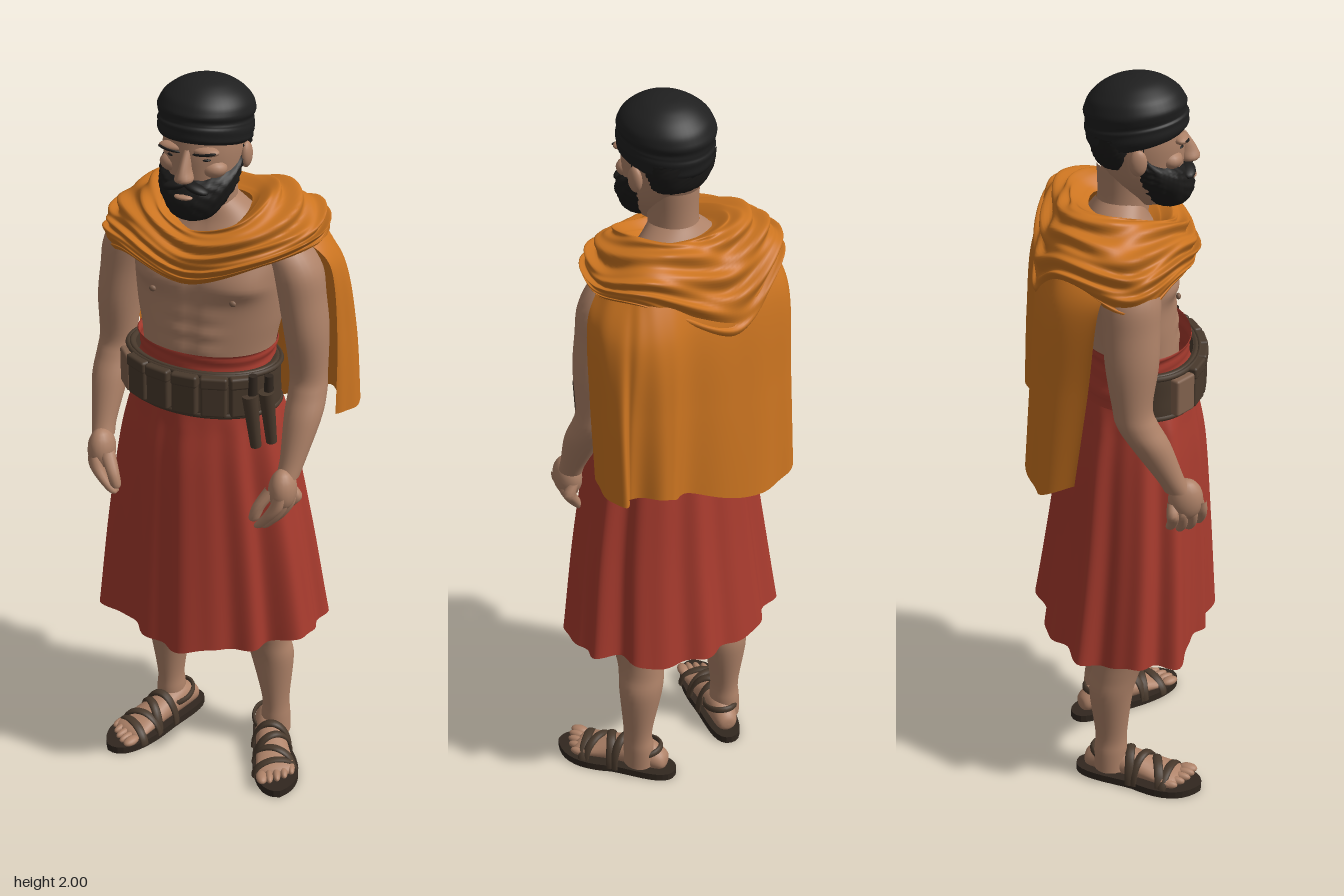
import * as THREE from 'three';
import { RoundedBoxGeometry } from 'three/addons/geometries/RoundedBoxGeometry.js';

const material = (name, color, side = THREE.FrontSide) => {
  const m = new THREE.MeshStandardMaterial({ color, side });
  m.name = name;
  return m;
};

// Catmull-Rom through rows of numbers, t in 0..1
function spline(rows, t, closed = false) {
  const n = rows.length, s = t * (closed ? n : n - 1);
  const i = Math.min(Math.floor(s), closed ? n : n - 2), f = s - i;
  const at = k => closed ? rows[(k + n) % n] : rows[Math.max(0, Math.min(n - 1, k))];
  const [a, b, c, d] = [at(i - 1), at(i), at(i + 1), at(i + 2)];
  return b.map((_, k) => b[k] + 0.5 * f * (c[k] - a[k]
    + f * (2 * a[k] - 5 * b[k] + 4 * c[k] - d[k] + f * (3 * (b[k] - c[k]) + d[k] - a[k]))));
}

// Smooth surface from f(u, v) -> [x, y, z]; wrap closes it around u
function surface(f, nu, nv, wrap) {
  const pos = [], index = [], cols = wrap ? nu : nu + 1;
  for (let j = 0; j <= nv; j++)
    for (let i = 0; i < cols; i++) pos.push(...f(i / nu, j / nv));
  for (let j = 0; j < nv; j++)
    for (let i = 0; i < nu; i++) {
      const a = j * cols + i, b = j * cols + (i + 1) % cols;
      index.push(a, b, b + cols, a, b + cols, a + cols);
    }
  const g = new THREE.BufferGeometry();
  g.setAttribute('position', new THREE.Float32BufferAttribute(pos, 3));
  g.setIndex(index);
  g.computeVertexNormals();
  return g;
}

// Elliptical sections [y, cx, cz, rx, rz] from bottom to top; swell(angle, v) scales them
function loft(rows, nu = 24, nv = 24, swell = () => 1, lift = () => 0) {
  return surface((u, v) => {
    const [y, cx, cz, rx, rz] = spline(rows, v), a = u * Math.PI * 2, k = swell(a, v);
    return [cx + Math.max(0, rx) * k * Math.sin(a), y + lift(a, v), cz + Math.max(0, rz) * k * Math.cos(a)];
  }, nu, nv, true);
}

// Surface through rows of points, then pushed by a fold rule
function drape(rows, nu, nv, closed, fold) {
  return surface((u, v) => fold(spline(rows.map(r => spline(r, u, closed)), v), u, v), nu, nv, closed);
}

export function createModel() {
  const model = new THREE.Group();
  const skin = material('skin', 0xae8268), cloth = material('orangeCloth', 0xcb7420, THREE.DoubleSide);
  const red = material('redCloth', 0xa83b2e, THREE.DoubleSide), black = material('blackCloth', 0x1f1f1f);
  const hair = material('hair', 0x1b1a19), leather = material('leather', 0x48392c, THREE.DoubleSide);
  const tan = material('tanLeather', 0x80614d), sole = material('soleLeather', 0x31271f);
  const add = (name, geo, mat, parent = model) => {
    const m = new THREE.Mesh(geo, mat);
    m.name = name;
    parent.add(m);
    return m;
  };
  const ball = (name, mat, p, r, parent) => {
    const m = add(name, new THREE.SphereGeometry(1, 18, 12), mat, parent);
    m.position.set(...p);
    m.scale.set(...r);
    return m;
  };
  const bell = (x, w) => Math.exp(-((x / w) ** 2));
  const fromFront = a => Math.abs(a > Math.PI ? a - 2 * Math.PI : a);
  const X = -0.012;

  // Torso with chest and stomach muscles
  add('torso', loft([[1.15, X, .03, .17, .12], [1.3, X, .03, .176, .115], [1.4, X, .025, .193, .112],
    [1.5, X, .015, .203, .113], [1.58, X, 0, .2, .1], [1.64, X, -.01, .12, .08], [1.69, X, 0, .06, .06]], 64, 60,
    (angle, v) => {
      const a = fromFront(angle);
      return 1 + .16 * bell(a - .52, .4) * bell(v - .49, v < .49 ? .055 : .13)
        + bell(a - .2, .2) * bell(v - .25, .13) * (.03 + .018 * Math.sin(v * 75)) - .025 * bell(a, .07);
    }), skin);
  add('neck', loft([[1.58, X, -.01, .075, .075], [1.68, X, .005, .062, .065], [1.78, X, .01, .065, .07]]), skin);
  for (const s of [-1, 1]) ball('nipple', tan, [X + s * .108, 1.462, .131], [.009, .008, .006]);

  // Head and face
  const H = -.015;
  add('head', loft([[1.68, H, .07, .04, .05], [1.74, H, .058, .08, .088], [1.8, H, .045, .095, .108],
    [1.86, H, .04, .1, .113], [1.92, H, .035, .09, .1], [1.96, H, .035, 0, 0]], 32, 24), skin);
  add('nose', loft([[1.773, H, .158, 0, 0], [1.784, H, .167, .023, .024], [1.81, H, .16, .015, .025],
    [1.855, H, .142, .01, .014]], 16, 14), skin);
  for (const s of [-1, 1]) {
    ball('cheek', skin, [H + s * .05, 1.803, .112], [.036, .024, .031]);
    ball('ear', skin, [H + s * .102, 1.815, .03], [.014, .033, .022]);
    ball('brow', skin, [H + s * .042, 1.852, .137], [.036, .012, .02]);
    ball('eyebrow', hair, [H + s * .044, 1.849, .149], [.031, .005, .01]).rotation.z = s * .15;
    ball('eye', hair, [H + s * .042, 1.831, .136], [.014, .004, .01]);
    ball('moustache', hair, [H + s * .027, 1.764, .158], [.034, .011, .021]).rotation.z = -s * .3;
  }
  const curl = (a, v) => 1 + .035 * Math.sin(a * 17 + v * 21) * Math.sin(v * 34 + 2 * Math.sin(a * 5));
  add('beard', loft([[1.66, H, .115, 0, 0], [1.68, H, .115, .05, .047], [1.72, H, .1, .08, .079],
    [1.755, H, .084, .097, .085], [1.782, H, .07, .101, .074], [1.815, H, .045, .101, .03], [1.86, H, .045, .098, .02]],
    64, 40, curl), hair);
  ball('lips', skin, [H, 1.742, .171], [.024, .007, .014]);
  add('backHair', loft([[1.775, H, -.005, .04, .03], [1.79, H, -.01, .076, .052], [1.83, H, -.015, .094, .062],
    [1.87, H, -.015, .098, .068]], 48, 20, curl), hair);

  // Wrapped cap, lower at the back, with a rolled band
  add('cap', loft([[1.848, H, .04, .098, .11], [1.862, H, .04, .112, .122], [1.892, H, .037, .115, .126],
    [1.907, H, .035, .112, .122], [1.93, H, .033, .117, .124], [1.96, H, .031, .102, .106],
    [1.985, H, .029, .068, .072], [1.997, H, .028, .033, .036], [2, H, .028, 0, 0]], 48, 54,
    (a, v) => 1 + .008 * Math.sin(v * 55 + 2 * Math.sin(a)) * (1 - v),
    (a, v) => .025 * (1 - v) * (Math.cos(a) - .1)), black);

  // Arms and hands
  for (const s of [-1, 1]) {
    const arm = new THREE.Group();
    arm.name = s > 0 ? 'leftArm' : 'rightArm';
    arm.position.x = s > 0 ? -.013 : -.021;
    model.add(arm);
    const rows = [[1, .257, .115, .029, .034], [1.04, .262, .095, .033, .035], [1.14, .267, .045, .048, .05],
      [1.2, .266, .012, .049, .052], [1.25, .262, 0, .049, .05], [1.36, .254, 0, .056, .066],
      [1.45, .24, 0, .059, .07], [1.53, .222, 0, .064, .072], [1.59, .19, 0, .05, .055], [1.61, .18, 0, 0, 0]];
    const place = r => r.map(([y, x, ...q]) => [y, s * x, ...q]);
    add('armMuscles', loft(place(rows), 24, 44), skin, arm);
    ball('palm', skin, [s * .252, .968, .137], [.036, .058, .045], arm);
    for (let i = 0; i < 4; i++) {
      const z = .102 + i * .025, x = .012 - i * .008, d = i === 1 || i === 2 ? -.008 : .004;
      add('finger', loft(place([[.858 + d, .212 + x, z, 0, 0], [.867 + d, .216 + x, z, .013, .012],
        [.9 + d, .242 + x, z + .003, .016, .0145], [.935, .262 + x, z, .018, .016], [.965, .258, z, .014, .013]]), 12, 14), skin, arm);
    }
    add('thumb', loft(place([[.883, .19, .182, 0, 0], [.893, .192, .181, .014, .013],
      [.93, .204, .174, .017, .017], [.975, .232, .15, .021, .021]]), 12, 12), skin, arm);
  }

  // Legs, feet and sandals
  const outline = new THREE.Shape();
  outline.moveTo(0, -.135);
  outline.bezierCurveTo(.055, -.135, .045, -.03, .055, .04);
  outline.bezierCurveTo(.08, .12, .075, .19, .01, .225);
  outline.bezierCurveTo(-.055, .23, -.065, .13, -.052, .04);
  outline.bezierCurveTo(-.042, -.03, -.055, -.135, 0, -.135);
  for (const s of [-1, 1]) {
    const k = s > 0 ? .135 : .167, ax = s > 0 ? .16 : .166;
    add(s > 0 ? 'leftLeg' : 'rightLeg', loft([[.04, s * ax, -.045, .042, .046], [.1, s * ax, -.045, .04, .046],
      [.16, s * ax, -.043, .038, .044], [.3, s * (ax + k) / 2, -.043, .06, .06], [.37, s * k, -.03, .062, .066],
      [.45, s * k, -.012, .066, .078], [.6, s * k, 0, .085, .09], [.8, s * .1, .02, .095, .1]], 28, 36), skin);
    const foot = new THREE.Group();
    foot.name = s > 0 ? 'leftFoot' : 'rightFoot';
    foot.position.set(s * (ax - .002), 0, -.01);
    foot.rotation.y = s * (s > 0 ? .47 : .38);
    foot.scale.x = s;
    model.add(foot);
    const base = add('sole', new THREE.ExtrudeGeometry(outline, { depth: .022, bevelEnabled: false, curveSegments: 10 }), sole, foot);
    base.geometry.rotateX(Math.PI / 2).translate(0, .022, 0);
    // sections run from heel to toes
    add('footBody', loft([[-.11, 0, -.045, 0, 0], [-.1, 0, -.048, .028, .026], [-.04, 0, -.06, .04, .045],
      [.04, 0, -.05, .043, .036], [.11, .002, -.04, .051, .023], [.155, .004, -.034, .05, .014],
      [.17, .004, -.032, 0, 0]], 24, 28).rotateX(Math.PI / 2), skin, foot);
    for (let i = 0; i < 5; i++)
      ball('toe', skin, [-.038 + i * .021, .034, .178 - i * i * .0022], [i ? .011 : .016, .012, .026], foot);
    // [along foot, half width, height, turn]
    [[.135, .06, .062, .15], [.1, .058, .076, -.35], [.06, .055, .09, .35], [.022, .053, .1, -.2]].forEach(([z, w, h, turn]) => {
      const strap = add('strap', new THREE.TorusGeometry(1, .1, 8, 24, Math.PI), leather, foot);
      strap.scale.set(w, h - .015, .13);
      strap.position.set(.002, .012, z);
      strap.rotation.y = turn;
    });
    const heel = add('heelStrap', new THREE.TorusGeometry(.045, .005, 8, 28), leather, foot);
    heel.rotation.x = Math.PI / 2 + .25;
    heel.scale.set(1, 1.2, 2);
    heel.position.set(0, .075, -.036);
  }

  // Pleated skirt, drawn in beside a raised front fold, and sash
  const pleat = a => .6 * Math.sin(a * 11 + .8) + .35 * Math.sin(a * 17 + 2) + .35 * Math.sin(a * 5 + 1);
  add('skirt', loft([[.468, -.005, .012, .308, .234], [.75, -.008, .025, .272, .207], [1, X, .032, .232, .184],
    [1.12, X, .035, .208, .163], [1.18, X, .037, .19, .152]], 200, 36,
    (a, v) => 1 + (.018 + .05 * (1 - v)) * pleat(a) * Math.min(1, (1 - v) * 4) - .09 * (1 - v) * bell(fromFront(a) - .6, .3),
    (a, v) => (1 - v) ** 3 * (.014 * Math.sin(a) - .004 * Math.cos(a) + .014 * Math.sin(a) ** 2 + .007 * Math.sin(a * 7))), red);
  add('sash', loft([[1.14, X, .037, .186, .148], [1.2, X, .037, .19, .15], [1.28, X, .037, .178, .136],
    [1.325, X, .037, .184, .142]], 64, 20, (a, v) => 1 + .012 * Math.sin(v * 30 + 2 * Math.sin(a * 2))), red);

  // Belt across the front, tucked under the sash behind, with pouches and sheaths
  const BZ = .06, BR = .14;
  add('belt', loft([[1.163, X, BZ, .188, .127], [1.165, X, BZ, .204, BR], [1.225, X, BZ, .203, .139],
    [1.285, X, BZ, .2, .136], [1.287, X, BZ, .182, .123]], 64, 24), leather);
  const onBelt = (mesh, a, y, out = 0) => {
    mesh.position.set(X + (.204 + out) * Math.sin(a), y, BZ + (BR + out) * Math.cos(a));
    mesh.rotation.y = Math.atan2(Math.sin(a) / .204, Math.cos(a) / BR);
  };
  [-1.02, -.66, -.3, .06, .42, .8].forEach((a, i) => {
    onBelt(add('pouch', new RoundedBoxGeometry(.066, .1, .03, 2, .007), i ? leather : tan), a, 1.225, .003);
    if (i) onBelt(add('pouchFlap', new RoundedBoxGeometry(.07, .032, .034, 2, .007), leather), a, 1.27, .004);
  });
  for (const y of [1.17, 1.282]) {
    const rim = add('beltRim', new THREE.TorusGeometry(1, .035, 6, 64), leather);
    rim.rotation.x = Math.PI / 2;
    rim.scale.set(.203, BR - .001, .2);
    rim.position.set(X, y, BZ);
  }
  [.9, 1.15].forEach((a, i) => {
    const sheath = add('sheath', new THREE.CylinderGeometry(.02, .014, .15, 14), leather);
    onBelt(sheath, a, 1.165, .022);
    sheath.rotation.z = .12;
    onBelt(add('knifeHandle', new THREE.CylinderGeometry(.011, .013, .06, 12), sole), a, 1.262 - i * .01, .02);
  });

  // Cape hanging over the back: rows from hem to shoulders, each from left edge to right edge
  add('cape', drape([
    [[.3, 1.1, -.06], [.333, 1.09, -.13], [.312, 1.085, -.2], [.275, 1.085, -.175], [.22, 1.08, -.24], [.14, 1.05, -.215], [-.03, .98, -.248], [-.2, .965, -.238], [-.27, 1.02, -.145]],
    [[.303, 1.32, -.05], [.32, 1.31, -.12], [.304, 1.3, -.18], [.27, 1.3, -.18], [.21, 1.3, -.228], [.13, 1.29, -.215], [-.03, 1.25, -.23], [-.2, 1.25, -.222], [-.28, 1.28, -.11]],
    [[.29, 1.52, -.03], [.298, 1.51, -.09], [.278, 1.5, -.15], [.25, 1.5, -.178], [.2, 1.5, -.207], [.12, 1.5, -.205], [-.02, 1.5, -.207], [-.2, 1.5, -.2], [-.288, 1.5, -.085]],
    [[.24, 1.59, -.01], [.24, 1.61, -.06], [.22, 1.62, -.1], [.2, 1.635, -.12], [.17, 1.645, -.14], [.1, 1.65, -.15], [-.02, 1.65, -.15], [-.16, 1.63, -.14], [-.26, 1.57, -.05]],
  ], 120, 40, false, ([x, y, z], u, v) => {
    const w = .006 * (1 - v) * (Math.sin(u * 34 + 1) + .5 * Math.sin(u * 57));
    return [x + w * x * 2, y, z - w * Math.min(1, u * 5)];
  }), cloth);

  // Gathered folds around the neck and shoulders, from hem to neck, going front, left, back, right
  add('shoulderWrap', drape([
    [[X, 1.51, .165], [.17, 1.57, .11], [.255, 1.585, -.03], [.19, 1.56, -.12], [-.02, 1.38, -.18], [-.19, 1.54, -.13], [-.305, 1.485, -.01], [-.21, 1.53, .1]],
    [[X, 1.54, .188], [.17, 1.585, .13], [.262, 1.605, -.03], [.21, 1.6, -.157], [-.02, 1.47, -.217], [-.21, 1.575, -.172], [-.308, 1.55, -.01], [-.21, 1.57, .12]],
    [[X, 1.585, .18], [.15, 1.62, .125], [.235, 1.635, -.03], [.19, 1.65, -.152], [X, 1.59, -.195], [-.19, 1.645, -.155], [-.277, 1.615, -.01], [-.175, 1.62, .125]],
    [[X, 1.635, .135], [.1, 1.66, .1], [.14, 1.697, -.03], [.1, 1.7, -.12], [X, 1.685, -.14], [-.12, 1.7, -.12], [-.17, 1.693, -.03], [-.12, 1.665, .1]],
    [[X, 1.61, .08], [.06, 1.63, .06], [.08, 1.66, -.01], [.06, 1.67, -.06], [X, 1.67, -.08], [-.08, 1.67, -.06], [-.1, 1.66, -.01], [-.08, 1.63, .06]],
  ], 140, 80, true, ([x, y, z], u, v) => {
    const a = u * Math.PI * 2;
    const w = .0075 * Math.sin(Math.PI * v) * (Math.sin(v * 40 + 2.2 * Math.sin(a + .6)) + .6 * Math.sin(v * 63 + 3 * Math.sin(a * 2)));
    return [x + w * Math.sin(a), y + w * .8, z + w * Math.cos(a)];
  }), cloth);

  return model;
}
